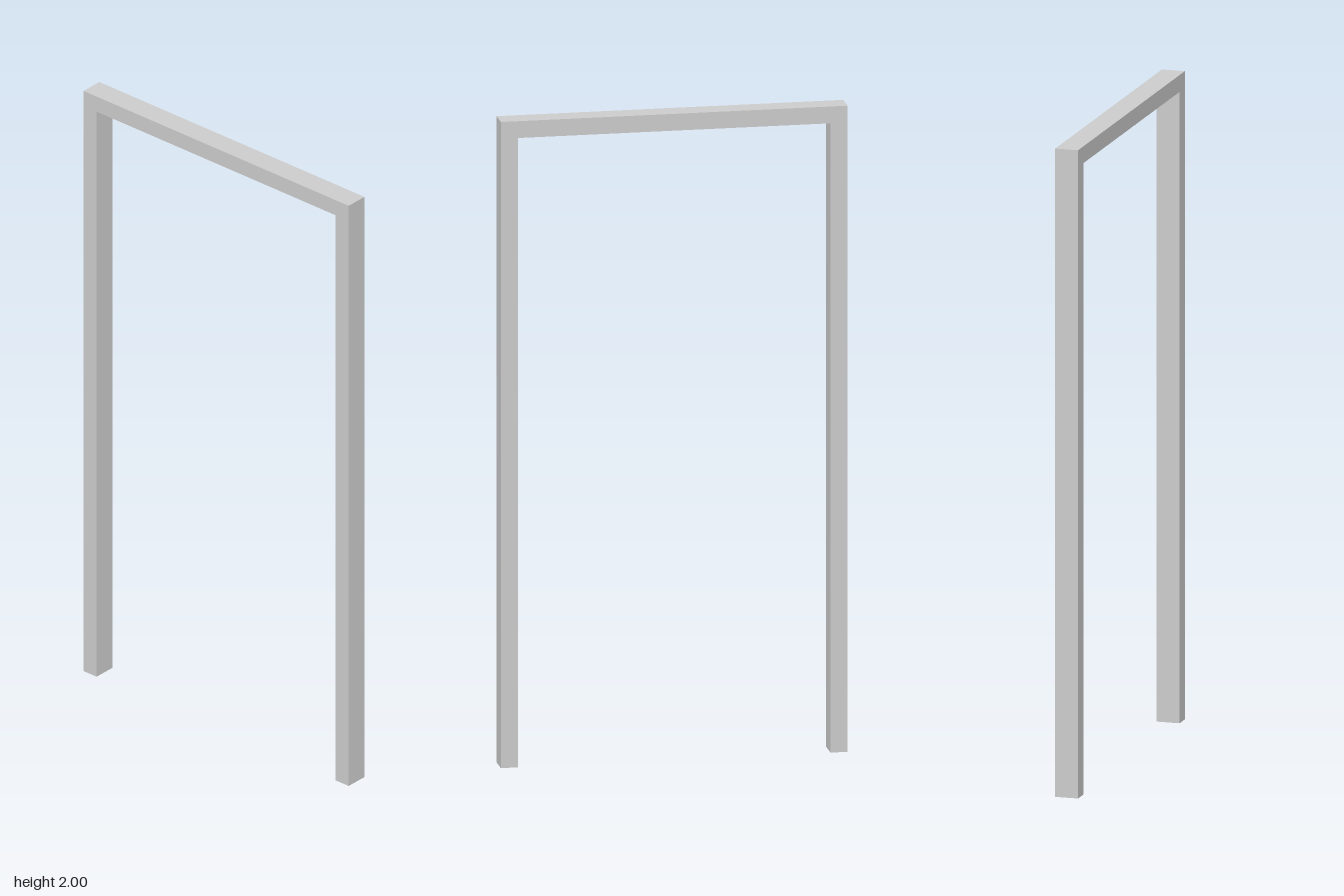
import * as THREE from 'three';

const HALF_WIDTH = 0.529, HEIGHT = 2, FACE = 0.052, DEPTH = 0.072;

// Drops the triangles lying on the floor, leaving the hollow jambs open below
function openBottom(geometry) {
  const p = geometry.attributes.position;
  const kept = [];
  for (let i = 0; i < p.count; i += 3) {
    const onFloor = [0, 1, 2].every((k) => Math.abs(p.getY(i + k)) < 1e-5);
    if (onFloor) continue;
    for (let k = 0; k < 3; k++) kept.push(p.getX(i + k), p.getY(i + k), p.getZ(i + k));
  }
  const open = new THREE.BufferGeometry();
  open.setAttribute('position', new THREE.Float32BufferAttribute(kept, 3));
  open.computeVertexNormals();
  return open;
}

export function createModel() {
  const group = new THREE.Group();
  group.name = 'doorFrame';

  // Two jambs and the head as one continuous outline
  const inner = HALF_WIDTH - FACE, head = HEIGHT - FACE;
  const outline = new THREE.Shape([
    [-HALF_WIDTH, 0], [-inner, 0], [-inner, head], [inner, head],
    [inner, 0], [HALF_WIDTH, 0], [HALF_WIDTH, HEIGHT], [-HALF_WIDTH, HEIGHT],
  ].map(([x, y]) => new THREE.Vector2(x, y)));

  const solid = new THREE.ExtrudeGeometry(outline, { depth: DEPTH, bevelEnabled: false });
  solid.translate(0, 0, -DEPTH / 2);

  const frame = new THREE.Mesh(
    openBottom(solid),
    new THREE.MeshStandardMaterial({ color: 0xcccccc, flatShading: true, side: THREE.DoubleSide }),
  );
  frame.name = 'jambsAndHead';
  group.add(frame);
  return group;
}
